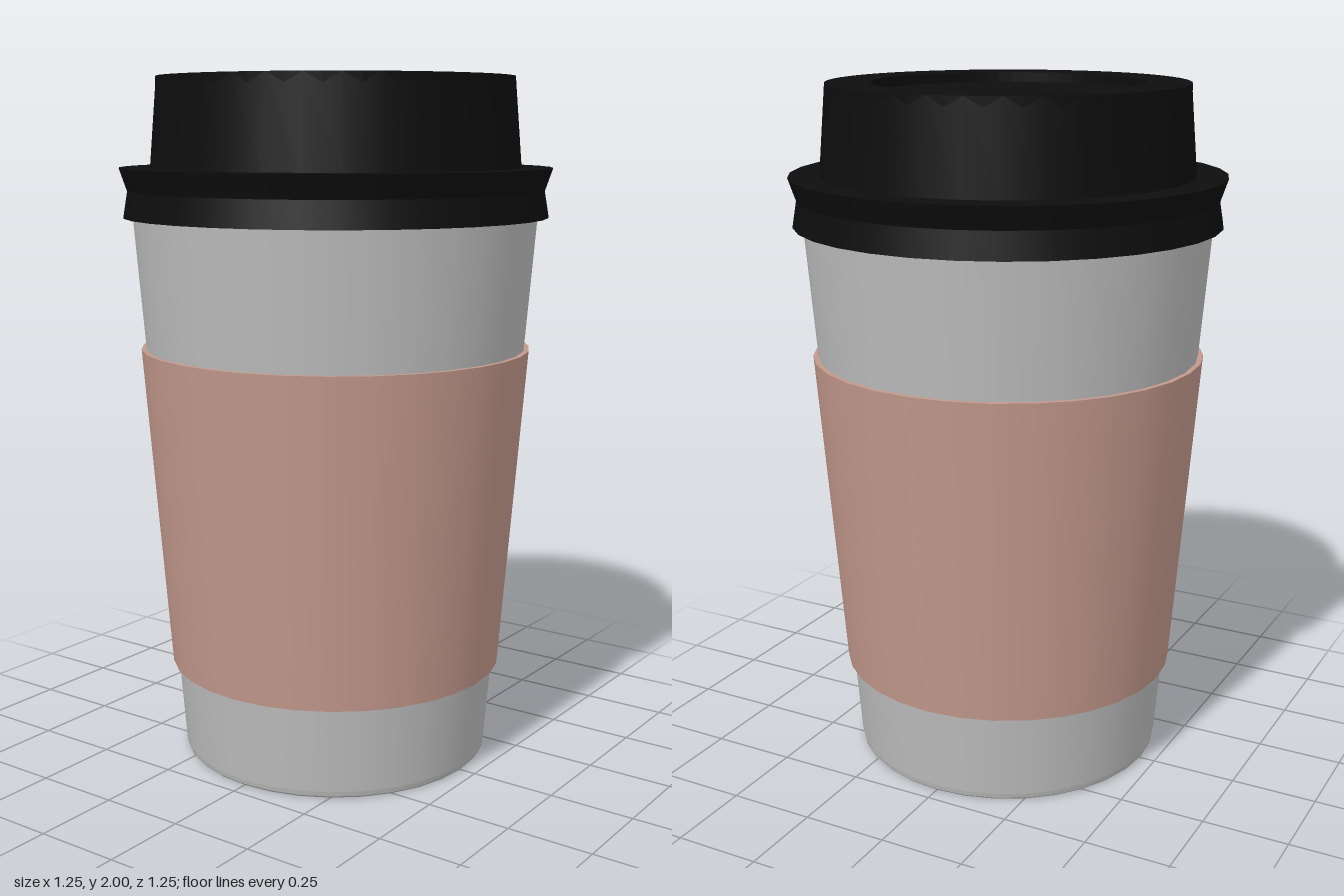
import * as THREE from 'three';
import { mergeGeometries } from 'three/addons/utils/BufferGeometryUtils.js';

const SIDES = 32;

// Revolve each profile segment on its own: smooth around, crisp between segments.
function turned(profile) {
  const bands = [];
  for (let i = 0; i < profile.length - 1; i++) {
    const pair = [profile[i], profile[i + 1]].map(([r, y]) => new THREE.Vector2(r, y));
    bands.push(new THREE.LatheGeometry(pair, SIDES));
  }
  return mergeGeometries(bands);
}

function part(name, geometry, material) {
  const mesh = new THREE.Mesh(geometry, material);
  mesh.name = name;
  return mesh;
}

function material(name, color) {
  const m = new THREE.MeshStandardMaterial({ color });
  m.name = name;
  return m;
}

export function createModel() {
  const paper = material('pale grey paper', 0xbcbcbc);
  const card = material('pink cardboard', 0xc2988c);
  const plastic = material('black plastic', 0x0d0d0d);

  const model = new THREE.Group();
  model.name = 'takeawayCup';

  // Tapered cup with a rounded foot and recessed base
  model.add(part('cup', turned([
    [0, 0.05], [0.415, 0.05], [0.43, 0.005], [0.437, 0], [0.45, 0],
    [0.456, 0.006], [0.459, 0.02], [0.586, 1.61],
  ]), paper));

  // Sleeve: closed band standing slightly proud of the cup
  model.add(part('sleeve', turned([
    [0.474, 0.275], [0.496, 0.275], [0.57, 1.225], [0.55, 1.225], [0.474, 0.275],
  ]), card));

  // Lid: pinched flange and tapered dome wall
  const lid = new THREE.Group();
  lid.name = 'lid';
  lid.add(part('lidWall', turned([
    [0.575, 1.605], [0.615, 1.605], [0.602, 1.68], [0.624, 1.745],
    [0.535, 1.745], [0.513, 2],
  ]), plastic));

  // Raised rim of the lid, pierced by the sip hole
  const depth = 0.03;
  const rim = new THREE.Shape();
  rim.absarc(0, 0, 0.513, 0, Math.PI * 2, false);
  const well = new THREE.Path();
  well.absarc(0, 0, 0.385, 0, Math.PI * 2, true);
  const a = 2.253;
  const sip = new THREE.Path([[-1, -1], [-1, 1], [1, 1], [1, -1]].map(([u, v]) => {
    const r = 0.456 + u * 0.03, t = v * 0.047;
    return new THREE.Vector2(r * Math.cos(a) - t * Math.sin(a), r * Math.sin(a) + t * Math.cos(a));
  }));
  rim.holes.push(well, sip);
  const rimGeometry = new THREE.ExtrudeGeometry(rim, { depth, bevelEnabled: false, curveSegments: SIDES });
  rimGeometry.rotateX(-Math.PI / 2).translate(0, 2 - depth, 0);
  lid.add(part('lidRim', rimGeometry, plastic));

  // Sunken centre of the lid
  const floor = new THREE.CircleGeometry(0.505, SIDES);
  floor.rotateX(-Math.PI / 2).translate(0, 2 - depth + 0.001, 0);
  lid.add(part('lidCentre', floor, plastic));

  lid.rotation.y = 0.065;
  model.add(lid);
  return model;
}
